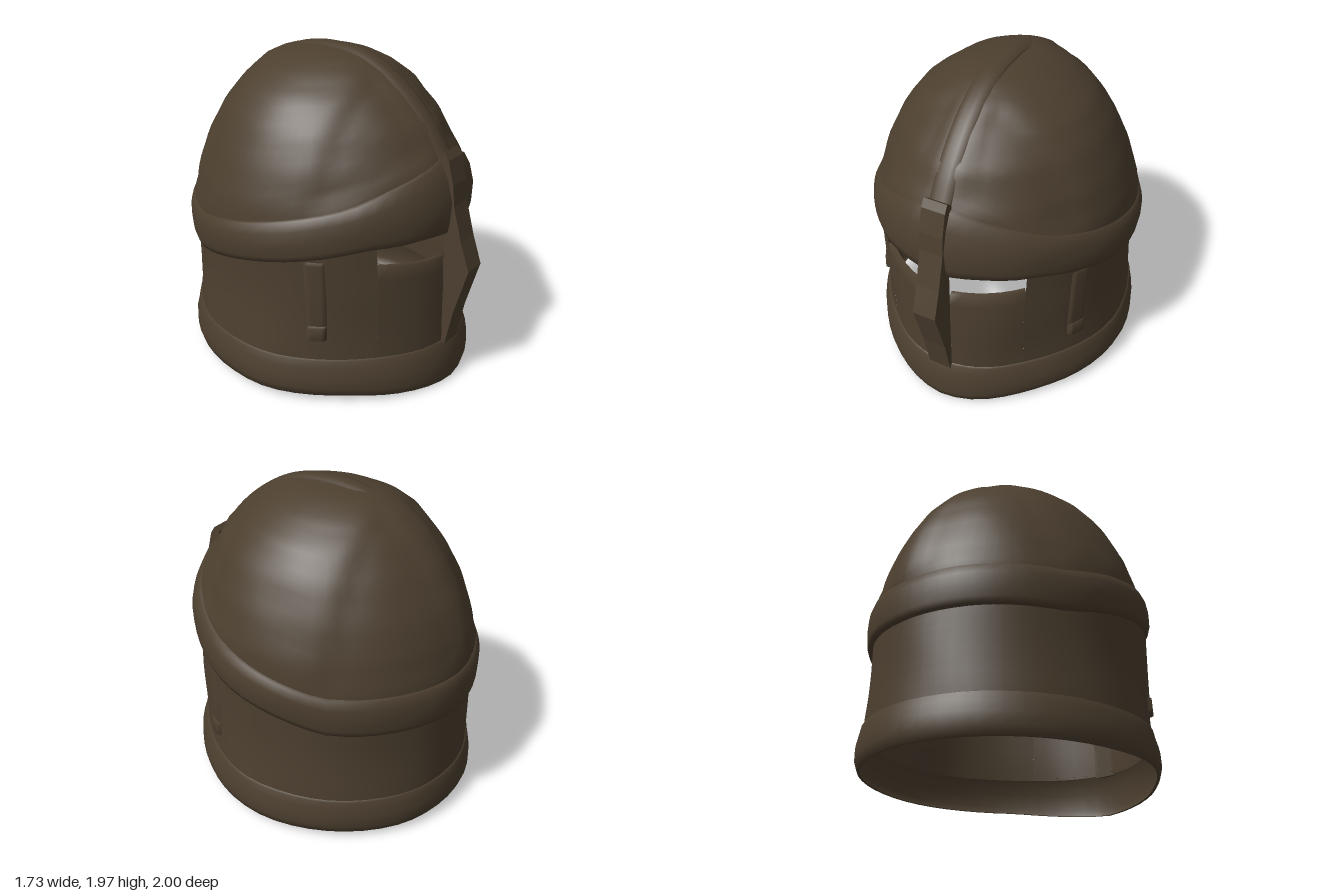
import * as THREE from 'three';

const steel = new THREE.MeshStandardMaterial({ color: 0x4c3f2f, side: THREE.DoubleSide });
steel.name = 'dark bronze steel';
const { smoothstep } = THREE.MathUtils;

// Piecewise linear lookup: table rows start with the key, returns column c
function lookup(table, key, c = 1) {
  if (key <= table[0][0]) return table[0][c];
  for (let i = 1; i < table.length; i++) {
    const p = table[i - 1], q = table[i];
    if (key <= q[0]) return p[c] + (q[c] - p[c]) * (key - p[0]) / (q[0] - p[0]);
  }
  return table[table.length - 1][c];
}

// Helmet body by height: y, half width, front z, back z
const BODY = [
  [0, 0.81, 0.86, -0.935], [0.28, 0.825, 0.86, -0.962], [0.45, 0.805, 0.855, -0.957], [0.6, 0.797, 0.85, -0.955],
  [0.85, 0.8, 0.835, -0.952], [1.0, 0.81, 0.83, -0.96], [1.06, 0.808, 0.83, -0.968], [1.2, 0.79, 0.83, -0.942],
  [1.4, 0.72, 0.785, -0.868], [1.6, 0.62, 0.67, -0.755], [1.75, 0.505, 0.52, -0.63],
  [1.86, 0.35, 0.37, -0.495], [1.92, 0.22, 0.25, -0.37], [1.945, 0.12, 0.15, -0.24], [1.96, 0, -0.03, -0.03],
];

// Edges of the brow band by angle from the front
const BAND_LOW = [[0, 1.0], [0.3, 1.02], [0.7, 1.005], [1.1, 0.94], [1.5, 0.87], [2.0, 0.775], [3.15, 0.76]];
const BAND_TOP = [[0, 1.45], [0.3, 1.39], [0.6, 1.315], [0.85, 1.24], [1.5, 1.105], [2.0, 1.015], [3.15, 1.0]];
const fold = (a) => Math.abs(Math.atan2(Math.sin(a), Math.cos(a)));
const bandLow = (a) => lookup(BAND_LOW, fold(a));
const bandTop = (a) => lookup(BAND_TOP, fold(a));
const slotLow = (a) => 0.845 + 0.06 * fold(a);

// Point on the body at an angle and height, pushed out by an offset;
// the front cheeks are flattened, most at the skirt, and the metal carries faint hammered dents
function bodyPoint(a, y, off) {
  const rx = lookup(BODY, y, 1), zf = lookup(BODY, y, 2), zb = lookup(BODY, y, 3);
  const size = Math.min(1, rx * 1.3);
  const dent = 0.004 * size * Math.sin(5 * a + 4 * y) * Math.sin(7 * y + 2 * Math.cos(3 * a));
  const flat = fold(a) < Math.PI / 2 ? size * (0.045 - 0.022 * smoothstep(y, 0.25, 0.8)) * Math.sin(2 * a) ** 2 : 0;
  const o = off + dent - flat;
  return [(rx + o) * Math.sin(a), y, (zf + zb) / 2 + ((zf - zb) / 2 + o) * Math.cos(a)];
}

// Four shallow sunken panels on the dome, between the crest and a broad strap from side to side
function panelOffset(a, y) {
  const [x, , z] = bodyPoint(a, y, 0);
  const alongZ = smoothstep(z, 0.28, 0.42) + smoothstep(-z, 0.36, 0.5);
  return -0.02 * alongZ * smoothstep(Math.abs(x), 0.07, 0.16) * smoothstep(y - bandTop(a), 0, 0.1);
}

// Curved sheet between two angles; each row is [height rule, offset or offset rule of angle and height]
function sheet(name, a0, a1, n, rows) {
  const closed = a1 - a0 > 6.28, cols = closed ? n : n + 1;
  const pos = [], idx = [];
  for (const [yAt, off] of rows) {
    for (let i = 0; i < cols; i++) {
      const a = a0 + (a1 - a0) * i / n, y = yAt(a);
      pos.push(...bodyPoint(a, y, typeof off === 'function' ? off(a, y) : off));
    }
  }
  for (let j = 0; j < rows.length - 1; j++) {
    for (let i = 0; i < n; i++) {
      const k = (i + 1) % cols, b = j * cols, t = b + cols;
      idx.push(b + i, b + k, t + k, b + i, t + k, t + i);
    }
  }
  const g = new THREE.BufferGeometry();
  g.setAttribute('position', new THREE.Float32BufferAttribute(pos, 3));
  g.setIndex(idx);
  g.computeVertexNormals();
  const m = new THREE.Mesh(g, steel);
  m.name = name;
  return m;
}

// Evenly spaced rows between two height rules
function rowsBetween(low, high, n, off = 0, ease = (t) => t) {
  return Array.from({ length: n + 1 }, (_, j) => [
    (a) => low(a) + (high(a) - low(a)) * ease(j / n), off]);
}

// Nose guard: side outline (z, y) extruded across x
function makeNoseGuard(outline, width) {
  const shape = new THREE.Shape(outline.map(([z, y]) => new THREE.Vector2(z, y)));
  const g = new THREE.ExtrudeGeometry(shape, { depth: width, bevelEnabled: false });
  g.translate(0, 0, -width / 2);
  g.rotateY(-Math.PI / 2);
  const m = new THREE.Mesh(g, steel);
  m.name = 'noseGuard';
  return m;
}

// Soft flattened ridge sunk into the dome and fading out behind the top
function makeCrest() {
  const path = new THREE.CatmullRomCurve3([
    [0.76, 1.42], [0.645, 1.59], [0.5, 1.74], [0.34, 1.855], [0.17, 1.925], [0, 1.944],
    [-0.15, 1.938], [-0.33, 1.895], [-0.5, 1.8], [-0.64, 1.65],
  ].map(([z, y]) => new THREE.Vector3(0, y, z)));
  const g = new THREE.TubeGeometry(path, 36, 0.03, 10, false);
  g.scale(2.5, 1, 1);
  const m = new THREE.Mesh(g, steel);
  m.name = 'crest';
  return m;
}

export function createModel() {
  const helmet = new THREE.Group();
  helmet.name = 'helmet';
  const TAU = Math.PI * 2, IN = 0.09, OUT = 0.635;
  const base = () => 0.27;
  const wallTop = (a) => bandLow(a) + 0.02;

  // Walls, leaving an eye slot open on each side of the nose guard
  helmet.add(sheet('wall', OUT, TAU - OUT, 48, rowsBetween(base, wallTop, 8)));
  helmet.add(sheet('noseWall', -IN, IN, 4, rowsBetween(base, wallTop, 8)));
  for (const [name, a0, a1] of [['leftFacePlate', IN, OUT], ['rightFacePlate', -OUT, -IN]]) {
    helmet.add(sheet(name, a0, a1, 6, [
      ...rowsBetween(base, slotLow, 7), [(a) => slotLow(a) + 0.003, -0.03],
    ]));
  }

  // Flared skirt, dipping at the front
  const hem = (a) => 0.05 - 0.045 * Math.max(0, 1 - fold(a) / 0.8);
  helmet.add(sheet('skirt', -Math.PI, Math.PI, 52, [
    [hem, 0.02], [hem, 0.038], [(a) => hem(a) + 0.05, 0.05], [() => 0.17, 0.044],
    [() => 0.23, 0.025], [() => 0.278, 0.012], [() => 0.284, 0],
  ]));

  // Brow band, peaked at the front and sloping down to the back
  const across = (t) => (a) => bandLow(a) + (bandTop(a) - bandLow(a)) * t;
  helmet.add(sheet('browBand', -Math.PI, Math.PI, 56, [
    [across(0), 0], [across(0.01), 0.026], [across(0.15), 0.036], [across(0.45), 0.04],
    [across(0.75), 0.034], [across(0.97), 0.016], [across(1), -0.002],
  ]));

  // Dome
  helmet.add(sheet('dome', -Math.PI, Math.PI, 72,
    rowsBetween((a) => bandTop(a) - 0.025, () => 1.96, 24, panelOffset, (t) => Math.sin(t * Math.PI / 2))));
  helmet.add(makeCrest());

  // Keeled nose guard
  helmet.add(makeNoseGuard([
    [0.855, 0.26], [0.875, 0.26], [0.92, 0.5], [1.0, 0.8], [0.94, 0.97], [0.88, 1.18], [0.868, 1.3],
    [0.83, 1.44], [0.8, 1.485], [0.765, 1.46], [0.76, 1.44], [0.825, 1.2], [0.825, 1.0], [0.835, 0.8],
  ], 0.145));

  // Cheek straps with a small catch at the foot
  for (const [side, s] of [['left', 1], ['right', -1]]) {
    const mid = s * 1.06, half = 0.07;
    const ridge = (h) => (a) => (Math.abs(a - mid) > half * 0.99 ? 0 : h);
    helmet.add(sheet(side + 'CheekStrap', mid - half, mid + half, 8, [
      [() => 0.5, 0], [() => 0.51, ridge(0.012)], [() => 0.7, ridge(0.012)],
      [() => 0.9, ridge(0.01)], [() => 0.92, 0],
    ]));
    helmet.add(sheet(side + 'CheekCatch', mid - half, mid + half, 8, [
      [() => 0.41, 0], [() => 0.42, ridge(0.024)], [() => 0.5, ridge(0.024)], [() => 0.515, 0.005],
    ]));
  }
  return helmet;
}
